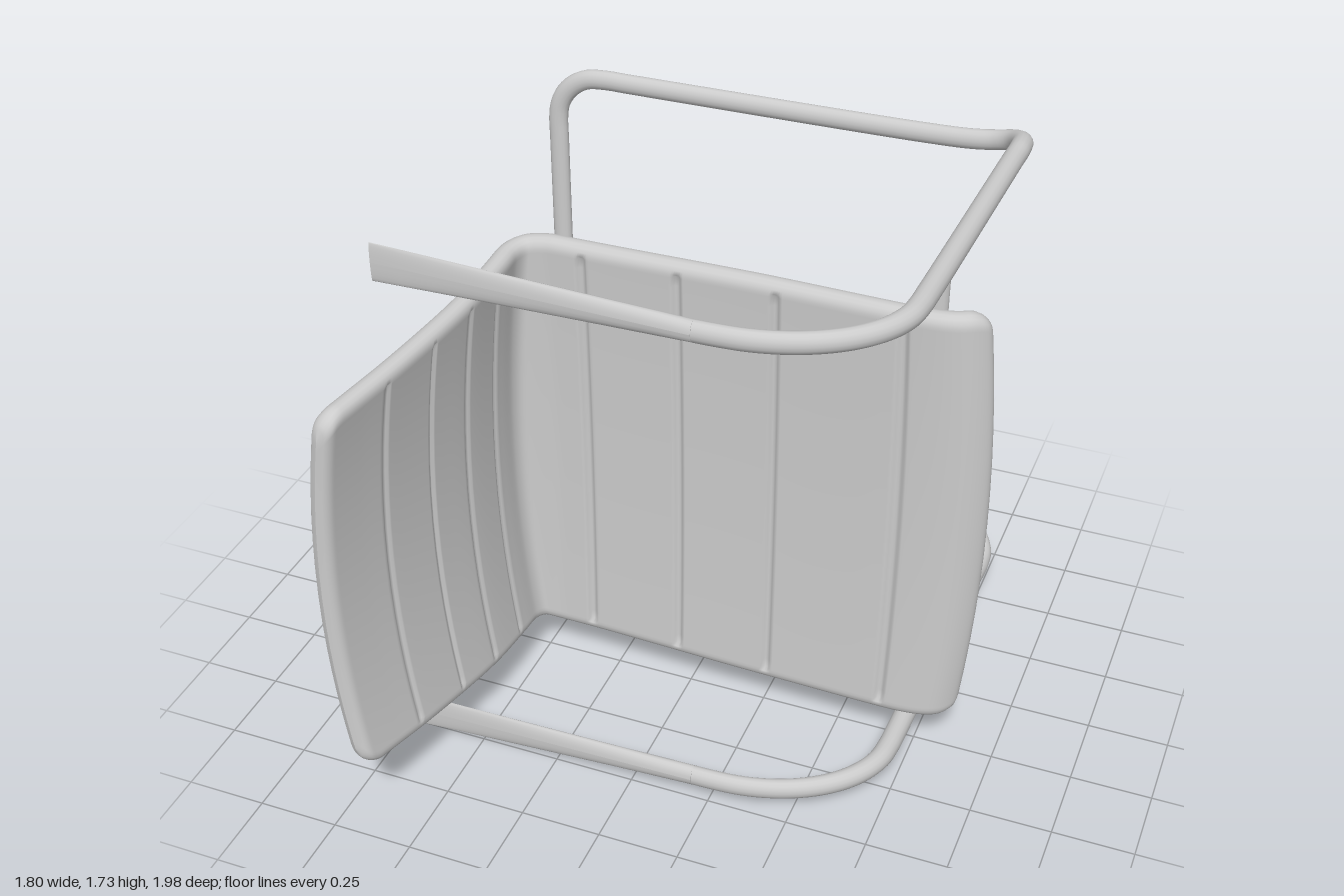
import * as THREE from 'three';

const MID = 0.865;     // mirror plane of the chair, which lies on its side
const FLAT = 0.74;     // tubes are slightly flattened along z

export function createModel() {
  const group = new THREE.Group();
  const material = new THREE.MeshStandardMaterial({ color: 0xcccccc });
  const thin = new THREE.MeshStandardMaterial({ color: 0xcccccc, side: THREE.DoubleSide });

  function add(name, geometry, mat = material) {
    const mesh = new THREE.Mesh(geometry, mat);
    mesh.name = name;
    group.add(mesh);
    return mesh;
  }

  function tube(name, points, radius, segments) {
    const path = new THREE.CatmullRomCurve3(
      points.map(([x, y, z]) => new THREE.Vector3(x, y, z / FLAT)), false, 'centripetal');
    return add(name, new THREE.TubeGeometry(path, segments, radius, 16).scale(1, 1, FLAT), thin);
  }

  const mirrored = (half) => half.concat(
    half.map(([x, y, z]) => [x, 2 * MID - y, z]).reverse());

  // Continuous frame: arm bend, front leg, floor rail and rear bar
  const half = [[0.2, 1.65, 0.489]];
  for (let k = 0; k <= 8; k++) {
    const a = (Math.PI / 2) * (1 - k / 8);
    half.push([0.25 + 0.46 * Math.cos(a), 1.65, 0.15 + 0.338 * Math.sin(a)]);
  }
  half.push(
    [0.712, 1.65, 0.1], [0.73, 1.65, -0.75], [0.732, 1.65, -0.83],
    [0.722, 1.638, -0.9], [0.685, 1.615, -0.95], [0.63, 1.595, -0.972],
    [0.55, 1.583, -0.975], [0.4, 1.577, -0.975], [-0.6, 1.57, -0.975], [-0.68, 1.57, -0.975]);
  for (let k = 1; k <= 5; k++) {
    const a = (Math.PI / 2) * (k / 5);
    half.push([-0.695 - 0.16 * Math.sin(a), 1.41 + 0.16 * Math.cos(a), -0.975]);
  }
  half.push([-0.855, 1.33, -0.975]);
  tube('frame', mirrored(half), 0.033, 500);

  // Armrests: the round tube flattens into a wide thin blade
  for (const side of [1, -1]) {
    const geo = new THREE.CylinderGeometry(1, 1, 1, 20, 10);
    const pos = geo.attributes.position;
    for (let i = 0; i < pos.count; i++) {
      const u = pos.getY(i) + 0.5;
      const y = 0.785 + 0.02 * u + pos.getX(i) * (0.033 + 0.027 * u);
      const z = 0.489 + 0.016 * u + pos.getZ(i) * (0.0244 - 0.0194 * u);
      pos.setXYZ(i, 0.2 - 0.93 * u, MID + side * y, z);
    }
    geo.computeVertexNormals();
    if (side > 0) geo.index.array.reverse();
    geo.computeVertexNormals();
    add(side > 0 ? 'upperArmrest' : 'lowerArmrest', geo, thin);
  }

  // Bar between the legs and the U-shaped support under the seat
  tube('crossbar', [[0.715, 0.09, -0.012], [0.715, 1.64, -0.012]], 0.033, 4);
  const bracket = [[0.71, 1.17, -0.025], [0.6, 1.17, -0.027], [-0.05, 1.17, -0.037]];
  for (let k = 0; k <= 5; k++) {
    const a = (Math.PI / 2) * (k / 5);
    bracket.push([-0.105 - 0.1 * Math.sin(a), 1.07 + 0.1 * Math.cos(a), -0.039]);
  }
  bracket.push([-0.205, 1.0, -0.039]);
  tube('seatSupport', mirrored(bracket), 0.029, 140);

  add('seatAndBack', shellGeometry());
  return group;
}

// Seat and back as one padded sheet swept along its side profile
function shellGeometry() {
  const profile = new THREE.SplineCurve([
    [0.853, -0.022], [0.83, 0.015], [0.79, 0.042], [0.72, 0.055], [0.6, 0.056],
    [0.3, 0.048], [0, 0.042], [-0.35, 0.036], [-0.44, 0.038], [-0.487, 0.052],
    [-0.512, 0.1], [-0.514, 0.18], [-0.517, 0.35], [-0.533, 0.5], [-0.564, 0.7],
    [-0.593, 0.85], [-0.62, 0.985]].map(([x, z]) => new THREE.Vector2(x, z)));
  profile.arcLengthDivisions = 800;
  const length = profile.getLength();
  const R = 0.034, CORNER = 0.07, ROWS = 360;
  const smooth = THREE.MathUtils.smoothstep;
  const round = (d, r) => Math.sqrt(Math.max(0, 1 - Math.max(0, 1 - d / r) ** 2));

  // Cross-section as [position across the flat, rim offset, height]
  const section = [];
  for (const s of [1, -1]) {
    for (let k = 0; k <= 18; k++) section.push([s * Math.sin((k / 9 - 1) * Math.PI / 2), 0, s]);
    for (let k = 1; k < 8; k++) {
      const a = Math.PI * k / 8;
      section.push([s, s * Math.sin(a), s * Math.cos(a)]);
    }
  }

  // Stitched grooves across the seat and the back
  function grooveDepth(x, z) {
    let depth = 0;
    const cut = (d, w, h) => { depth = Math.max(depth, h * Math.min(1, 2 * Math.max(0, 1 - Math.abs(d) / w))); };
    if (z < 0.08) for (const g of [-0.31, -0.015, 0.28, 0.65]) cut(x - g, 0.015, 0.012);
    else for (const g of [0.22, 0.38, 0.55, 0.75]) cut(z - g, 0.009, 0.007);
    return depth;
  }

  const positions = [], index = [], n = section.length;
  for (let i = 0; i <= ROWS; i++) {
    const t = i / ROWS;
    const p = profile.getPointAt(t), tan = profile.getTangentAt(t);
    const end = Math.min(t, 1 - t) * length;
    const h = R * round(end, R);
    const back = smooth(p.x, -0.52, -0.4);
    const width = THREE.MathUtils.lerp(0.698 - 0.088 * p.y, 0.705 + 0.01 * smooth(p.x, -0.4, 0.3), back)
      - CORNER * (1 - round(end, CORNER));
    const bowX = 0.042 * smooth(p.x, 0.55, 0.85) - (1 - back) * (0.05 + 0.03 * p.y);
    const bowZ = -0.014 * back;
    const groove = grooveDepth(p.x, p.y);
    for (const [f, rim, up] of section) {
      const y = f * (width - R) + rim * R;
      const bow = 1 - (y / 0.715) ** 2;
      const off = up * h - (up === 1 && Math.abs(f) < 0.99 ? groove : 0);
      positions.push(p.x + tan.y * off + bowX * bow, 0.868 + y, p.y - tan.x * off + bowZ * bow);
    }
  }
  for (let i = 0; i < ROWS; i++) {
    for (let j = 0; j < n; j++) {
      const a = i * n + j, b = i * n + (j + 1) % n;
      index.push(a, b, a + n, b, b + n, a + n);
    }
  }
  const geo = new THREE.BufferGeometry();
  geo.setAttribute('position', new THREE.Float32BufferAttribute(positions, 3));
  geo.setIndex(index);
  geo.computeVertexNormals();
  return geo;
}
